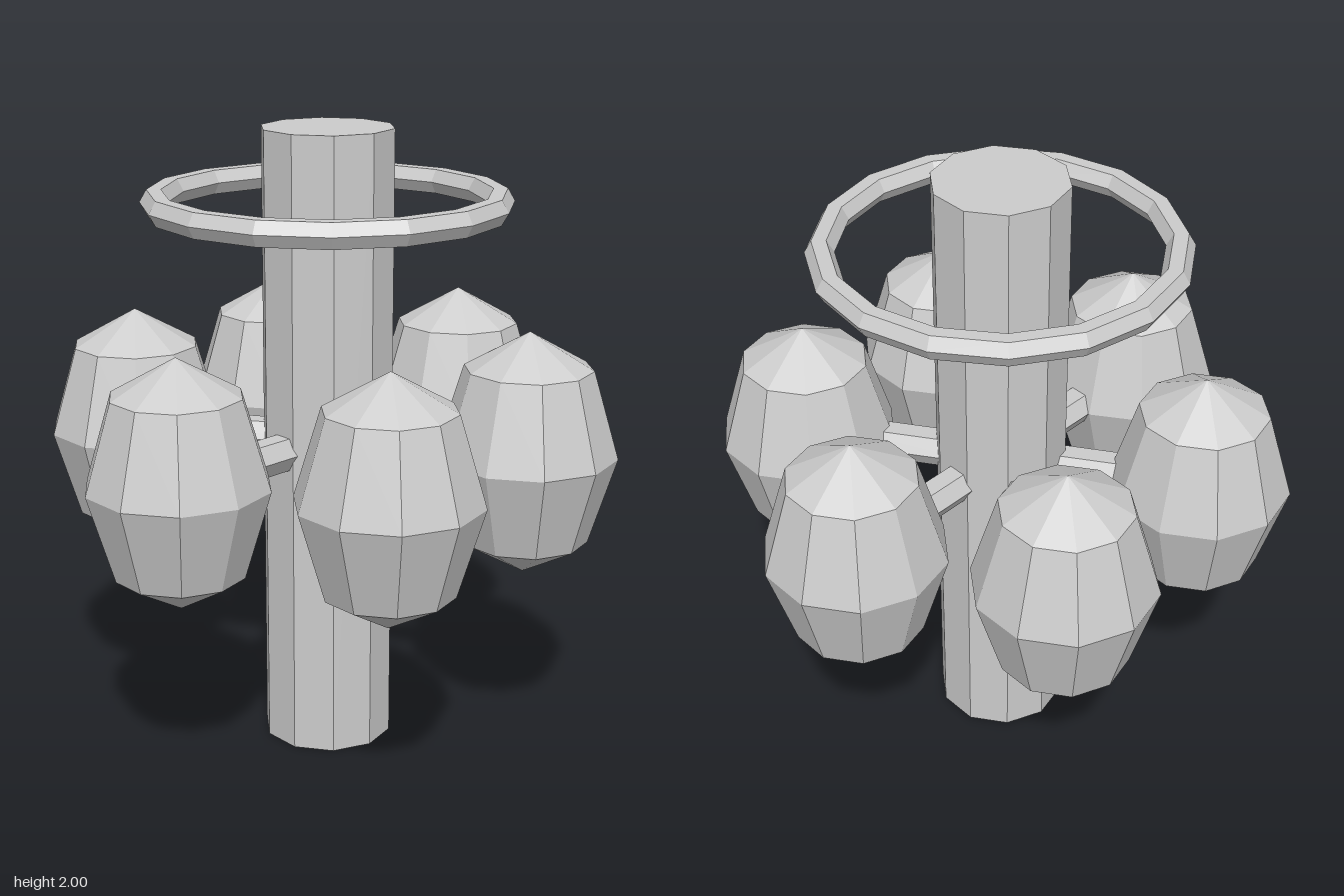
import * as THREE from 'three';

export function createModel() {
  const model = new THREE.Group();
  const grey = new THREE.MeshStandardMaterial({ color: 0xcccccc, flatShading: true });
  grey.name = 'light grey';

  const add = (name, geometry, parent = model) => {
    const mesh = new THREE.Mesh(geometry, grey);
    mesh.name = name;
    parent.add(mesh);
    return mesh;
  };

  // Ten-sided central post
  const post = add('post', new THREE.CylinderGeometry(0.21, 0.21, 2, 10));
  post.position.y = 1;
  post.rotation.y = THREE.MathUtils.degToRad(-5);

  // Upper hoop with a hexagonal section
  const hoop = add('hoop', new THREE.TorusGeometry(0.535, 0.045, 6, 16).rotateX(Math.PI / 2));
  hoop.position.y = 1.77;

  // Six faceted pods, all turned the same way
  const podGeometry = new THREE.SphereGeometry(0.286, 10, 4)
    .scale(1, 1.375, 1)
    .rotateY(THREE.MathUtils.degToRad(13));

  // Hexagonal arm reaching from the post axis into a pod
  const armGeometry = new THREE.CylinderGeometry(0.06, 0.06, 0.6, 6)
    .rotateZ(Math.PI / 2)
    .translate(0.3, 0, 0);

  for (let i = 0; i < 6; i++) {
    const angle = (i * Math.PI) / 3;
    const branch = new THREE.Group();
    branch.name = 'branch' + (i + 1);
    branch.position.y = 1.002;
    add('arm', armGeometry, branch).rotation.y = -angle;
    add('pod', podGeometry, branch).position.set(0.64 * Math.cos(angle), 0, 0.64 * Math.sin(angle));
    model.add(branch);
  }

  return model;
}
